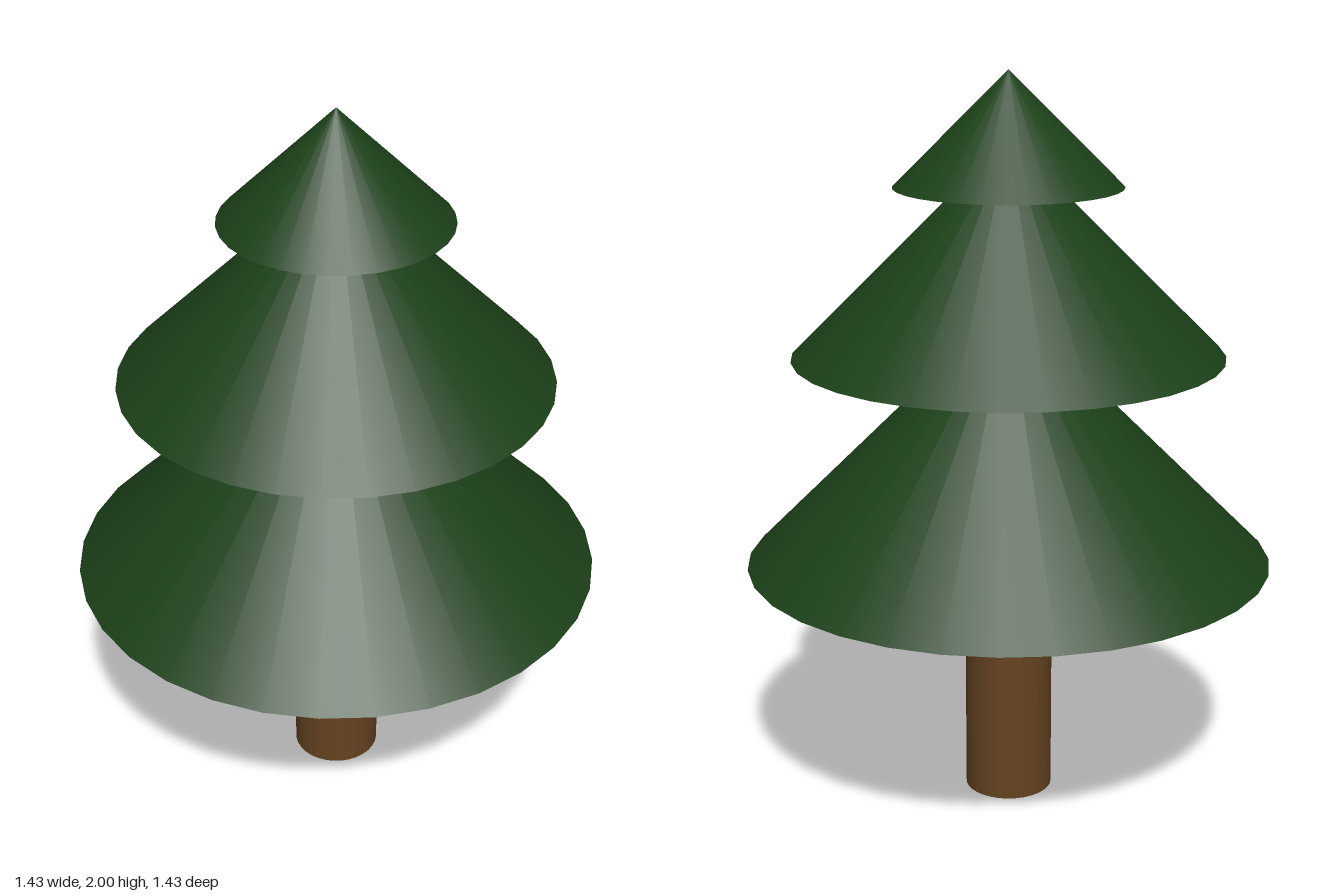
import * as THREE from 'three';

const SIDES = 32;

export function createModel() {
  const tree = new THREE.Group();
  tree.name = 'pineTree';
  const bark = new THREE.MeshStandardMaterial({ color: 0x654321 });
  const needles = new THREE.MeshStandardMaterial({ color: 0x1c4019 });

  // Trunk, ending at the underside of the lowest tier
  const trunkHeight = 0.69;
  const trunk = new THREE.Mesh(new THREE.CylinderGeometry(0.12, 0.12, trunkHeight, SIDES), bark);
  trunk.name = 'trunk';
  trunk.position.y = trunkHeight / 2;
  tree.add(trunk);

  // Foliage tiers: closed cones, each tip tucked into the one above
  const tiers = [
    { name: 'lowerFoliage', radius: 0.714, base: 0.68, tip: 1.394 },
    { name: 'middleFoliage', radius: 0.58, base: 1.25, tip: 1.83 },
    { name: 'topFoliage', radius: 0.304, base: 1.7, tip: 2 },
  ];
  for (const { name, radius, base, tip } of tiers) {
    const cone = new THREE.Mesh(new THREE.ConeGeometry(radius, tip - base, SIDES), needles);
    cone.name = name;
    cone.position.y = (base + tip) / 2;
    tree.add(cone);
  }
  return tree;
}
